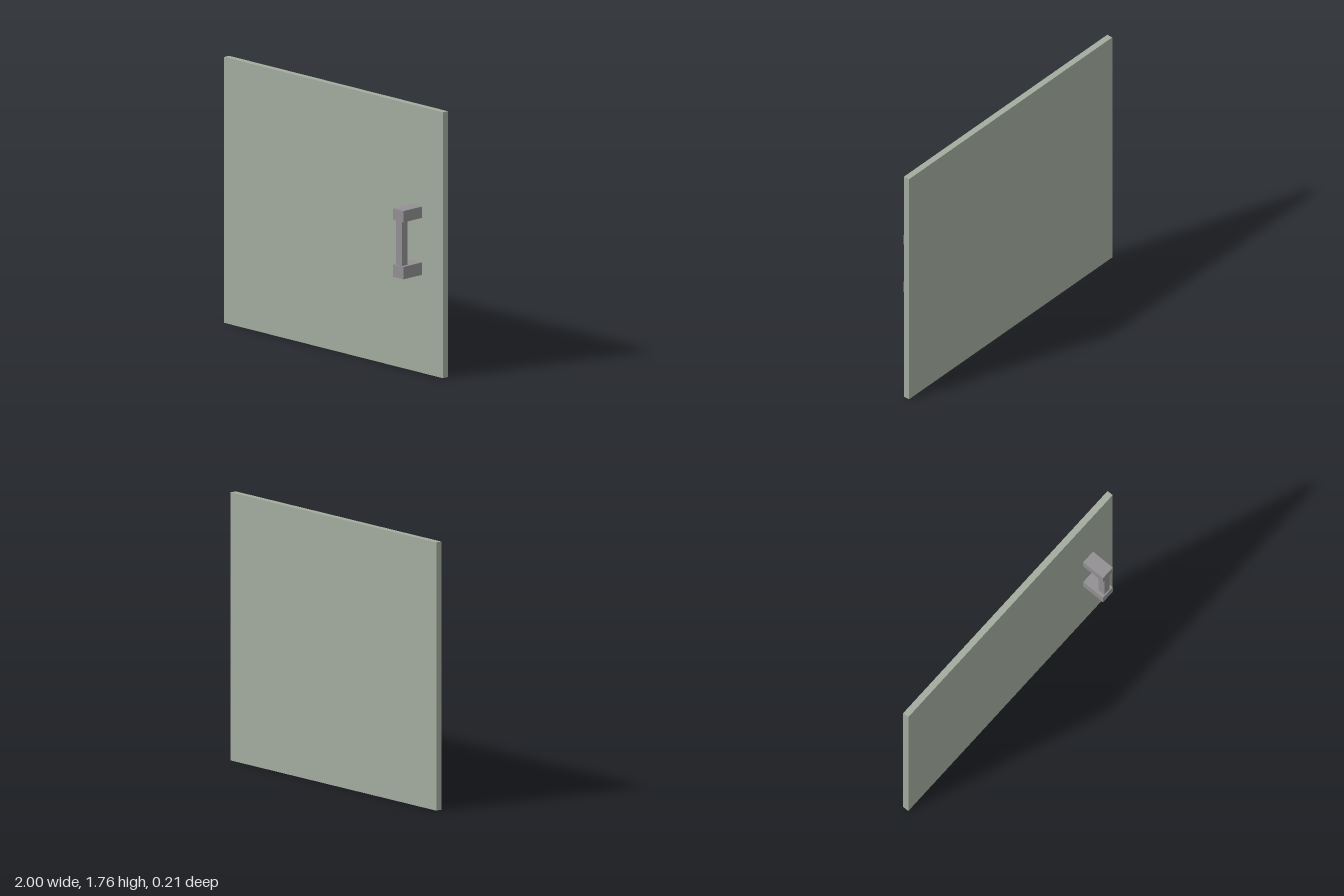
import * as THREE from 'three';

export function createModel() {
  const model = new THREE.Group();
  model.name = 'cabinetDoor';

  const panelMaterial = new THREE.MeshStandardMaterial({ color: 0xa3ab9e });
  const handleMaterial = new THREE.MeshStandardMaterial({ color: 0x929092 });

  // Adds a box spanning the given minimum and maximum corners
  function addBox(parent, name, material, min, max) {
    const size = max.map((v, i) => v - min[i]);
    const mesh = new THREE.Mesh(new THREE.BoxGeometry(...size), material);
    mesh.position.set(...max.map((v, i) => (v + min[i]) / 2));
    mesh.name = name;
    parent.add(mesh);
  }

  // Flat door panel
  addBox(model, 'doorPanel', panelMaterial, [-1, 0, -0.105], [1, 1.757, -0.062]);

  // Pull handle: two brackets standing off the panel, joined by a slim grip
  const handle = new THREE.Group();
  handle.name = 'handle';
  model.add(handle);
  addBox(handle, 'lowerBracket', handleMaterial, [0.712, 0.648, -0.062], [0.808, 0.73, 0.105]);
  addBox(handle, 'upperBracket', handleMaterial, [0.712, 1.024, -0.062], [0.808, 1.099, 0.105]);
  addBox(handle, 'grip', handleMaterial, [0.734, 0.73, 0.046], [0.786, 1.024, 0.097]);

  return model;
}
